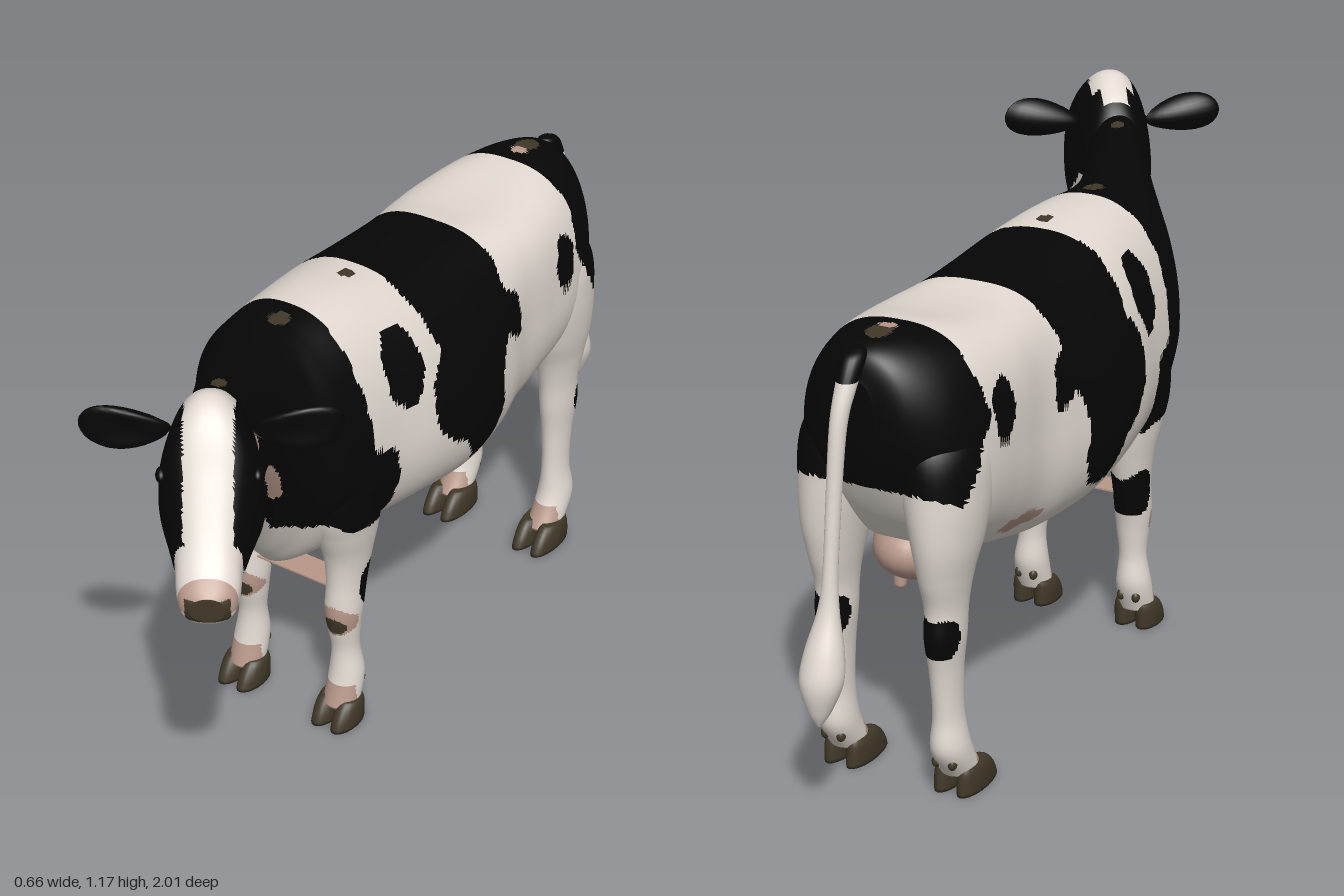
import * as THREE from 'three';

const mat = (name, color) => Object.assign(new THREE.MeshStandardMaterial({ color }), { name });
const MATS = [mat('white hide', 0xe0d8d0), mat('black hide', 0x060606), mat('pink skin', 0xb8988a), mat('dark horn', 0x403828)];
const WHITE = 0, BLACK = 1, PINK = 2, HORN = 3;
const CX = -0.07; // spine position

// Smooth interpolation through rows of numbers
function sample(rows, t) {
  const n = rows.length - 1, i = Math.min(Math.floor(t * n), n - 1), f = t * n - i;
  const r = k => rows[Math.max(0, Math.min(n, k))];
  return rows[0].map((_, c) => {
    const a = r(i - 1)[c], b = r(i)[c], d = r(i + 1)[c], e = r(i + 2)[c];
    return b + 0.5 * f * (d - a + f * (2 * a - 5 * b + 4 * d - e + f * (3 * (b - d) + e - a)));
  });
}

// Skin over rounded rings. place(row, cos, sin) gives a point, paint(point) a colour index
function loft(name, rows, place, paint, steps, sides) {
  const pos = [], faces = MATS.map(() => []);
  for (let i = 0; i <= steps; i++) {
    const row = sample(rows, i / steps);
    for (let j = 0; j < sides; j++) {
      const a = (j / sides) * Math.PI * 2;
      pos.push(...place(row, Math.cos(a), Math.sin(a)));
    }
  }
  const P = i => new THREE.Vector3().fromArray(pos, i * 3);
  for (const ring of [0, steps]) {
    const c = new THREE.Vector3();
    for (let j = 0; j < sides; j++) c.addScaledVector(P(ring * sides + j), 1 / sides);
    pos.push(c.x, c.y, c.z);
  }
  const face = (a, b, c) => {
    const m = P(a).add(P(b)).add(P(c)).divideScalar(3);
    faces[paint(m)].push(a, b, c);
  };
  const end = (steps + 1) * sides;
  for (let j = 0; j < sides; j++) {
    const k = (j + 1) % sides, last = steps * sides;
    for (let i = 0; i < steps; i++) {
      const o = i * sides, p = o + sides;
      face(o + j, o + k, p + j);
      face(o + k, p + k, p + j);
    }
    face(end, k, j);
    face(end + 1, last + j, last + k);
  }
  const geo = new THREE.BufferGeometry();
  geo.setAttribute('position', new THREE.Float32BufferAttribute(pos, 3));
  geo.setIndex(faces.flat());
  let start = 0;
  faces.forEach((f, m) => { if (f.length) geo.addGroup(start, f.length, m); start += f.length; });
  geo.computeVertexNormals();
  const mesh = new THREE.Mesh(geo, MATS);
  mesh.name = name;
  return mesh;
}

// Ring layouts: lengthwise [z, x, bottom, top, halfWidth, upper roundness, narrowing, lower roundness] and upright [y, x, z, rx, rz]
const bow = (v, e) => Math.sign(v) * Math.abs(v) ** e;
const alongZ = ([z, x, lo, hi, w, upper, k, lower = 0.87], c, s) => {
  const e = s > 0 ? upper : lower, v = bow(s, e);
  return [x + w * bow(c, e) * (1 - k * v), (lo + hi) / 2 + ((hi - lo) / 2) * v, z];
};
const downY = ([y, x, z, rx, rz], c, s) => [x + rx * c, y, z + rz * s];

function inside(poly, u, v) {
  let hit = false;
  poly.forEach(([x1, y1], i) => {
    const [x2, y2] = poly[(i + 1) % poly.length];
    if ((y1 > v) !== (y2 > v) && u < ((x2 - x1) * (v - y1)) / (y2 - y1) + x1) hit = !hit;
  });
  return hit;
}
const oval = (u, v, cu, cv, ru, rv) => ((u - cu) / ru) ** 2 + ((v - cv) / rv) ** 2 < 1;

// Hide patches as (z, y) outlines, the same on both flanks
const PATCHES = [
  [[0, 1.2], [-0.01, 0.98], [-0.03, 0.88], [0.02, 0.82], [0.02, 0.72], [-0.03, 0.66], [-0.1, 0.62], [-0.14, 0.54], [-0.22, 0.55],
    [-0.26, 0.62], [-0.25, 0.72], [-0.29, 0.8], [-0.36, 0.76], [-0.36, 0.86], [-0.31, 0.9], [-0.33, 1.2]],
  [[0.22, 1.3], [0.23, 0.95], [0.21, 0.74], [0.14, 0.72], [0.13, 0.62], [0.14, 0.53], [0.22, 0.55], [0.26, 0.545], [0.3, 0.575],
    [0.36, 0.59], [0.43, 0.62], [0.5, 0.67], [0.56, 0.74], [0.6, 0.85], [0.64, 0.95], [0.8, 1.0], [0.8, 1.3]],
  [[-0.62, 1.2], [-0.64, 0.95], [-0.62, 0.86], [-0.68, 0.76], [-0.73, 0.69], [-0.77, 0.72], [-0.9, 0.78], [-0.9, 1.2]],
];
const BACK_MARKS = [[-0.07, -0.715, 0.028], [-0.055, 0.04, 0.018], [-0.055, 0.285, 0.022], [0.045, 0.62, 0.016]];
function hide({ x, y, z }) {
  const u = z + 0.003 * Math.sin(y * 80), v = y + 0.003 * Math.sin(z * 95);
  const side = x - (CX + Math.max(0, z - 0.33) * 0.42);
  const neckMark = side > 0 ? oval(u - (v - 0.795) * 0.6, v, 0.495, 0.795, 0.024, 0.072) : oval(u, v, 0.5, 0.75, 0.02, 0.03);
  if (neckMark || oval(u, v, 0.608, 0.95, 0.012, 0.045) || oval(u, v, -0.43, 0.54, 0.07, 0.02)) return PINK;
  if (y > 0.98) { // small marks along the back
    if (oval(x, z, -0.07, -0.68, 0.022, 0.016)) return PINK;
    if (BACK_MARKS.some(([a, b, r]) => oval(x, z, a, b, r, r * 1.2))) return HORN;
  }
  if (z > 0.24 && y < 0.8 && Math.abs(side) < 0.045) return WHITE; // breast stripe
  if (oval(u, v, 0.09, 0.89, 0.058, 0.09) || oval(u, v, -0.57, 0.85, 0.04, 0.07)) return BLACK;
  return PATCHES.some(p => inside(p, u, v)) ? BLACK : WHITE;
}
function legHide(p) {
  const { x, y, z } = p, off = Math.abs(x - CX) - 0.132;
  if (y < 0.105 && (z > 0.235 || (z < 0 && z > -0.64))) return PINK;
  if (oval(z, y, -0.735, 0.39, 0.035, 0.045) || oval(z, y, 0.175, 0.365, 0.04, 0.06)) return BLACK;
  if (z > 0.22 && oval(off, y, 0, 0.27, 0.028, 0.022)) return HORN;
  if (z > 0.22 && oval(off, y, 0, 0.283, 0.043, 0.04)) return PINK;
  return hide(p);
}
const FACE = [[-0.2, 1.3], [0.1, 1.3], [0.165, 1.04], [0.228, 0.96], [0.215, 0.88], [0.165, 0.84], [0.08, 0.845], [0.02, 0.88], [-0.05, 0.95], [-0.2, 0.95]];
function faceHide({ x, y, z }) {
  if (z > 0.296 && y > 0.822 && y < 0.872 && Math.abs(x) < 0.045) return HORN;
  if (z > 0.28 && y > 0.84) return PINK;
  const blaze = y > 0.95 && Math.abs(x) < (z < -0.01 ? 0.032 : 0.05) && z > -0.055;
  return !blaze && inside(FACE, z + 0.003 * Math.sin(y * 90), y) ? BLACK : WHITE;
}

function blob(name, m, r, p) {
  const mesh = new THREE.Mesh(new THREE.SphereGeometry(1, 24, 16), MATS[m]);
  mesh.scale.set(...r);
  mesh.position.set(...p);
  mesh.name = name;
  return mesh;
}

function makeHead() {
  const head = new THREE.Group();
  head.name = 'head';
  head.position.set(0.115, 0, 0.735);
  head.rotation.y = THREE.MathUtils.degToRad(35);
  head.add(loft('skull', [
    [-0.1, 0, 0.88, 1.05, 0.04, 0.9, 0], [-0.08, 0, 0.83, 1.1, 0.07, 0.9, 0], [-0.03, 0, 0.795, 1.145, 0.09, 0.9, 0.1],
    [0.04, 0, 0.79, 1.178, 0.102, 0.88, 0.2], [0.1, 0, 0.8, 1.145, 0.102, 0.85, 0.04], [0.16, 0, 0.807, 1.06, 0.085, 0.85, 0],
    [0.22, 0, 0.807, 0.975, 0.067, 0.85, 0], [0.26, 0, 0.803, 0.925, 0.063, 0.88, 0], [0.292, 0, 0.808, 0.895, 0.054, 0.9, 0],
    [0.309, 0, 0.825, 0.878, 0.034, 0.95, 0]], alongZ, faceHide, 100, 72));
  for (const s of [-1, 1]) {
    // Leaf-shaped ear, hollow towards the front
    const geo = new THREE.SphereGeometry(1, 24, 16), p = geo.attributes.position;
    for (let i = 0; i < p.count; i++) {
      const x = p.getX(i), y = p.getY(i), z = p.getZ(i);
      const wide = 0.85 + 0.25 * x * s;
      p.setXYZ(i, x * 0.092, y * 0.053 * wide, z * 0.028 - 0.022 * (1 - y * y) * (z > 0 ? 1 : 0.6) + 0.01);
    }
    geo.computeVertexNormals();
    const ear = new THREE.Mesh(geo, MATS[BLACK]);
    ear.name = s > 0 ? 'leftEar' : 'rightEar';
    ear.position.set(0.172 * s, 1.075, 0);
    ear.rotation.z = 0.12 * s;
    head.add(ear, blob('eye', BLACK, [0.012, 0.016, 0.02], [s * 0.094, 1.03, 0.105]));
  }
  return head;
}

function makeLeg(name, side, rows, hoofZ, hoofR) {
  const leg = new THREE.Group();
  leg.name = name;
  const put = r => [r[0], CX + side * r[1], ...r.slice(2)];
  leg.add(loft('limb', rows.map(put), downY, legHide, 110, 44));
  for (const d of [-0.027, 0.027]) {
    const x = 0.135 + d;
    leg.add(loft('claw', [[0.068, x, hoofZ - 0.02, 0.018, hoofR * 0.55], [0.056, x, hoofZ - 0.014, 0.025, hoofR * 0.72],
      [0.03, x, hoofZ - 0.005, 0.028, hoofR * 0.9], [0.005, x, hoofZ, 0.027, hoofR]].map(put), downY, () => HORN, 8, 20));
    leg.add(blob('dewclaw', HORN, [0.01, 0.014, 0.012], [CX + side * (0.135 + d * 0.7), 0.092, rows[rows.length - 2][2] - 0.028]));
  }
  return leg;
}

export function createModel() {
  const cow = new THREE.Group();
  cow.name = 'cow';

  // Trunk and neck in one skin, keeled below from the brisket forward
  const trunk = [
    [-0.812, -0.07, 0.82, 0.96, 0.04, 1, 0], [-0.79, -0.07, 0.74, 1.015, 0.11, 0.97, 0.05], [-0.72, -0.07, 0.62, 1.035, 0.178, 0.9, 0.08],
    [-0.62, -0.07, 0.53, 1.03, 0.207, 0.75, 0.04], [-0.5, -0.07, 0.48, 1.01, 0.212, 0.58, 0], [-0.4, -0.07, 0.45, 1.005, 0.214, 0.55, 0.02],
    [-0.3, -0.07, 0.435, 1.015, 0.235, 0.72, 0.08], [-0.15, -0.07, 0.44, 1.025, 0.257, 0.82, 0.12], [0, -0.07, 0.455, 1.04, 0.247, 0.82, 0.13],
    [0.12, -0.07, 0.46, 1.05, 0.225, 0.82, 0.12], [0.22, -0.07, 0.445, 1.05, 0.213, 0.85, 0.08], [0.3, -0.07, 0.425, 1.047, 0.2, 0.9, 0],
    [0.36, -0.065, 0.475, 1.05, 0.165, 0.9, -0.08], [0.43, -0.045, 0.56, 1.06, 0.128, 0.9, -0.12], [0.52, -0.005, 0.665, 1.075, 0.102, 0.9, -0.1],
    [0.6, 0.035, 0.735, 1.09, 0.09, 0.9, -0.05], [0.7, 0.085, 0.79, 1.1, 0.075, 0.9, 0], [0.74, 0.11, 0.84, 1.08, 0.05, 0.9, 0]];
  const keel = z => 0.87 + 0.4 * THREE.MathUtils.smoothstep(z, 0.18, 0.32);
  cow.add(loft('body', trunk.map(r => [...r, keel(r[0])]), alongZ, hide, 260, 120));
  cow.add(makeHead());

  // Legs: [y, distance from spine, z, half width, half depth]
  const fore = [[0.78, 0.1, 0.2, 0.06, 0.08], [0.7, 0.115, 0.21, 0.085, 0.115], [0.6, 0.125, 0.215, 0.08, 0.108], [0.52, 0.13, 0.205, 0.064, 0.088],
    [0.45, 0.13, 0.2, 0.051, 0.067], [0.38, 0.13, 0.205, 0.043, 0.055], [0.3, 0.13, 0.217, 0.042, 0.049], [0.25, 0.13, 0.217, 0.037, 0.042],
    [0.19, 0.132, 0.214, 0.032, 0.035], [0.12, 0.135, 0.215, 0.041, 0.043], [0.05, 0.135, 0.237, 0.043, 0.042]];
  const hind = [[0.9, 0.08, -0.63, 0.07, 0.09], [0.8, 0.11, -0.65, 0.09, 0.125], [0.7, 0.122, -0.66, 0.085, 0.123], [0.6, 0.13, -0.675, 0.068, 0.105],
    [0.52, 0.13, -0.685, 0.052, 0.08], [0.45, 0.13, -0.685, 0.042, 0.062], [0.38, 0.13, -0.69, 0.04, 0.06], [0.3, 0.13, -0.688, 0.033, 0.048],
    [0.2, 0.132, -0.685, 0.031, 0.043], [0.12, 0.135, -0.682, 0.041, 0.052], [0.05, 0.135, -0.64, 0.042, 0.05]];
  for (const s of [-1, 1]) {
    const word = s > 0 ? 'left' : 'right';
    cow.add(makeLeg(word + 'ForeLeg', s, fore, 0.252, 0.056), makeLeg(word + 'HindLeg', s, hind, -0.618, 0.076));
    // Teats
    for (const z of [-0.5, -0.57]) {
      const teat = new THREE.Mesh(new THREE.CapsuleGeometry(0.014, 0.05, 6, 12), MATS[PINK]);
      teat.name = 'teat';
      teat.position.set(CX + s * 0.045, 0.435, z);
      cow.add(teat);
    }
  }
  cow.add(blob('udder', PINK, [0.1, 0.08, 0.14], [CX, 0.515, -0.54]));

  // Thin strip between the fore legs
  const strip = new THREE.Mesh(new THREE.BoxGeometry(0.27, 0.004, 0.07), MATS[PINK]);
  strip.name = 'legStrip';
  strip.position.set(CX, 0.358, 0.205);
  cow.add(strip);

  // Tail with tuft
  cow.add(loft('tail', [
    [1.025, -0.065, -0.79, 0.012, 0.015], [1.01, -0.065, -0.805, 0.024, 0.03], [0.96, -0.065, -0.838, 0.022, 0.024], [0.88, -0.062, -0.868, 0.018, 0.019],
    [0.72, -0.06, -0.89, 0.016, 0.017], [0.58, -0.06, -0.908, 0.016, 0.017], [0.5, -0.06, -0.92, 0.024, 0.022], [0.42, -0.06, -0.94, 0.042, 0.04],
    [0.36, -0.06, -0.953, 0.046, 0.045], [0.3, -0.06, -0.962, 0.025, 0.026], [0.265, -0.06, -0.967, 0.004, 0.004]],
  downY, p => (p.y > 0.97 ? BLACK : WHITE), 70, 20));
  return cow;
}
